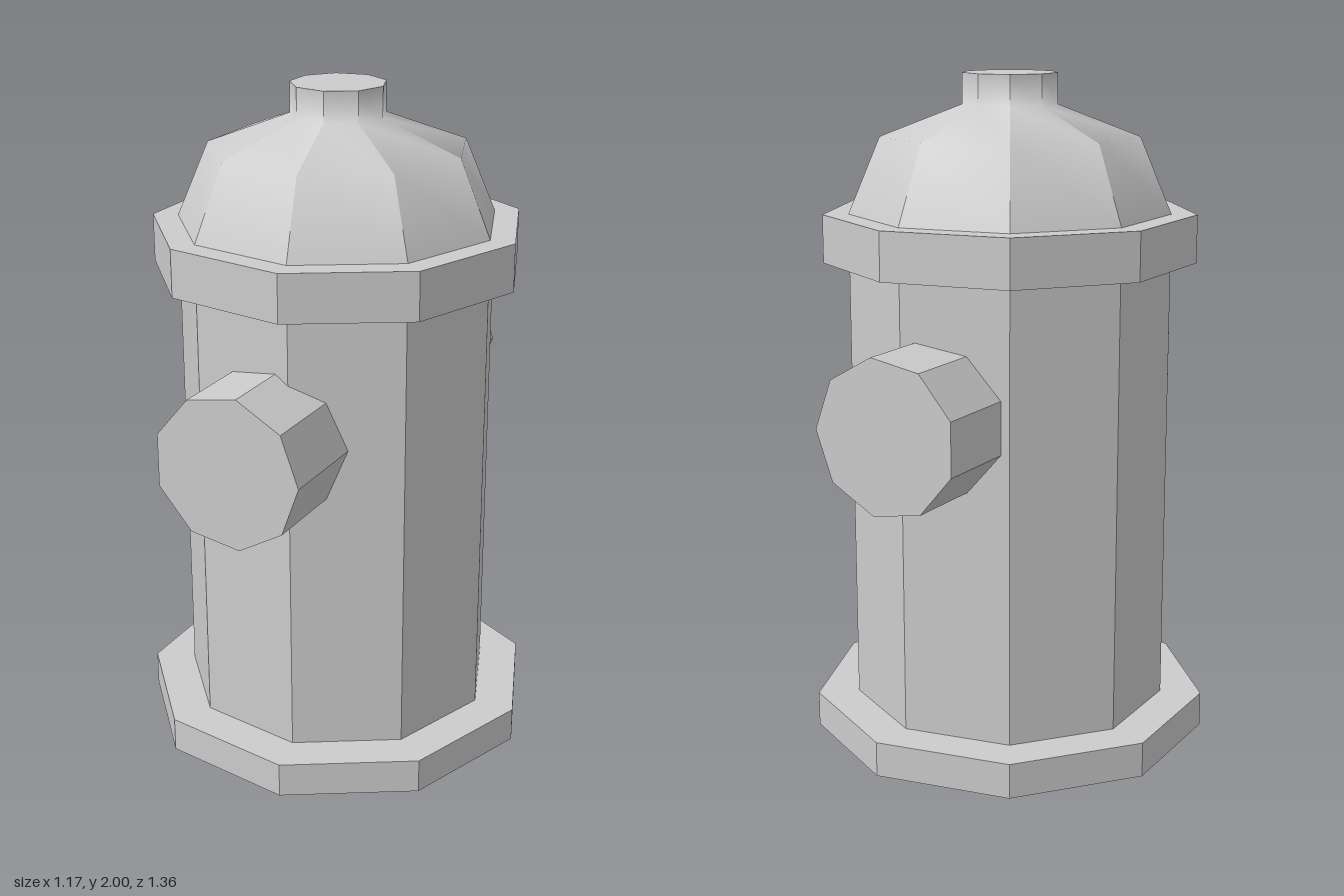
import * as THREE from 'three';
import { mergeGeometries } from 'three/addons/utils/BufferGeometryUtils.js';

const SIDES = 9;
const STEP = (Math.PI * 2) / SIDES;
const START = Math.PI / 2; // one corner points to +x

export function createModel() {
  const hydrant = new THREE.Group();
  hydrant.name = 'hydrant';
  const flat = new THREE.MeshStandardMaterial({ color: 0xcccccc, flatShading: true });
  const smooth = new THREE.MeshStandardMaterial({ color: 0xcccccc });

  // Nine-sided upright drum between two heights
  function drum(name, radius, bottom, top) {
    const geometry = new THREE.CylinderGeometry(radius, radius, top - bottom, SIDES, 1, false, START);
    const mesh = new THREE.Mesh(geometry, flat);
    mesh.name = name;
    mesh.position.y = (bottom + top) / 2;
    hydrant.add(mesh);
    return mesh;
  }

  drum('base', 0.603, 0, 0.105);
  drum('barrel', 0.478, 0.105, 1.455);
  drum('collar', 0.554, 1.455, 1.597);

  // Bonnet: each panel is smooth up its height, with hard edges between panels
  const profile = [[0.478, 1.597], [0.383, 1.82], [0.141, 1.91], [0.141, 2]]
    .map(([r, y]) => new THREE.Vector2(r, y));
  const panels = [];
  for (let i = 0; i < SIDES; i++) {
    const panel = new THREE.LatheGeometry(profile, 1, START + i * STEP, STEP);
    panel.computeVertexNormals();
    panels.push(panel);
  }
  const bonnet = new THREE.Mesh(mergeGeometries(panels), smooth);
  bonnet.name = 'bonnet';
  hydrant.add(bonnet);

  // Flat top closing the neck of the bonnet
  const cap = new THREE.Mesh(new THREE.CircleGeometry(0.141, SIDES), flat);
  cap.name = 'bonnetTop';
  cap.rotation.x = -Math.PI / 2;
  cap.position.y = 2;
  hydrant.add(cap);

  // Hose outlets at front and back
  for (const side of [1, -1]) {
    const outlet = drum(side > 0 ? 'frontOutlet' : 'backOutlet', 0.227, 0, 0.68);
    outlet.rotation.x = Math.PI / 2;
    outlet.position.set(0, 1.053, side * 0.34);
  }

  // Odd-sided rings reach further to +x, so shift to centre the whole
  hydrant.children.forEach((part) => { part.position.x = -0.018; });
  return hydrant;
}
